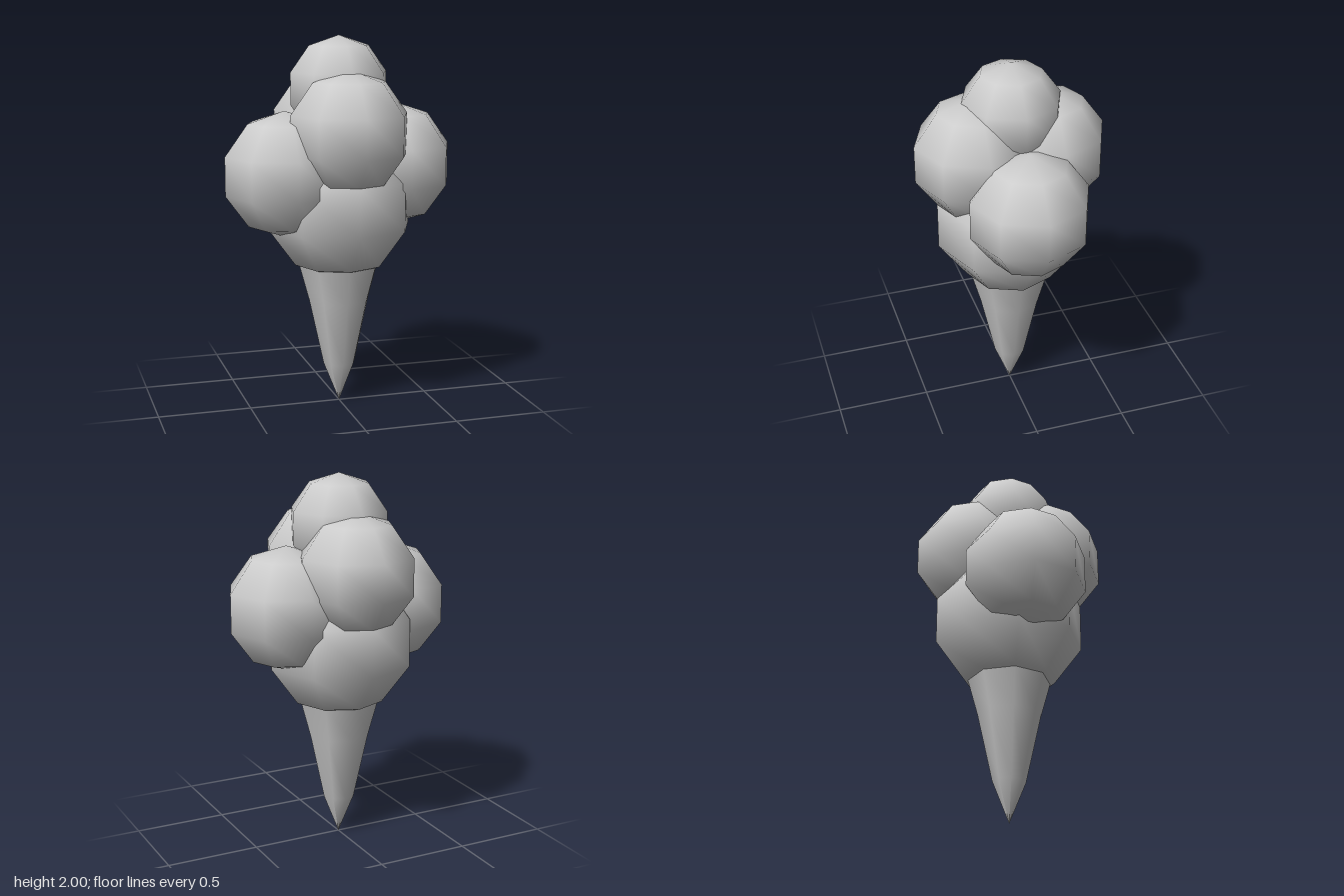
import * as THREE from 'three';

const material = new THREE.MeshStandardMaterial({ color: 0xcccccc });

export function createModel() {
  const group = new THREE.Group();
  const add = (name, geometry, x = 0, y = 0, z = 0) => {
    const mesh = new THREE.Mesh(geometry, material);
    mesh.name = name;
    mesh.position.set(x, y, z);
    group.add(mesh);
  };

  // Tapered eight-sided cone, its open rim sunk into the base scoop
  const profile = [[0, 0], [0.088, 0.22], [0.167, 0.58], [0.225, 0.79], [0.24, 0.86]]
    .map(([r, y]) => new THREE.Vector2(r, y));
  add('cone', new THREE.LatheGeometry(profile, 8));

  // Low-poly scoops with smooth normals: name, radius, centre
  const scoops = [
    ['baseScoop', 0.415, 0, 1.117, 0],
    ['leftScoop', 0.33, 0.306, 1.313, -0.01],
    ['rightScoop', 0.333, -0.31, 1.283, 0.047],
    ['frontScoop', 0.33, 0, 1.503, 0.19],
    ['backScoop', 0.323, 0, 1.5, -0.2],
    ['topScoop', 0.276, 0, 1.724, -0.007],
  ];
  for (const [name, r, x, y, z] of scoops) {
    add(name, new THREE.SphereGeometry(r, 8, 5), x, y, z);
  }
  return group;
}
